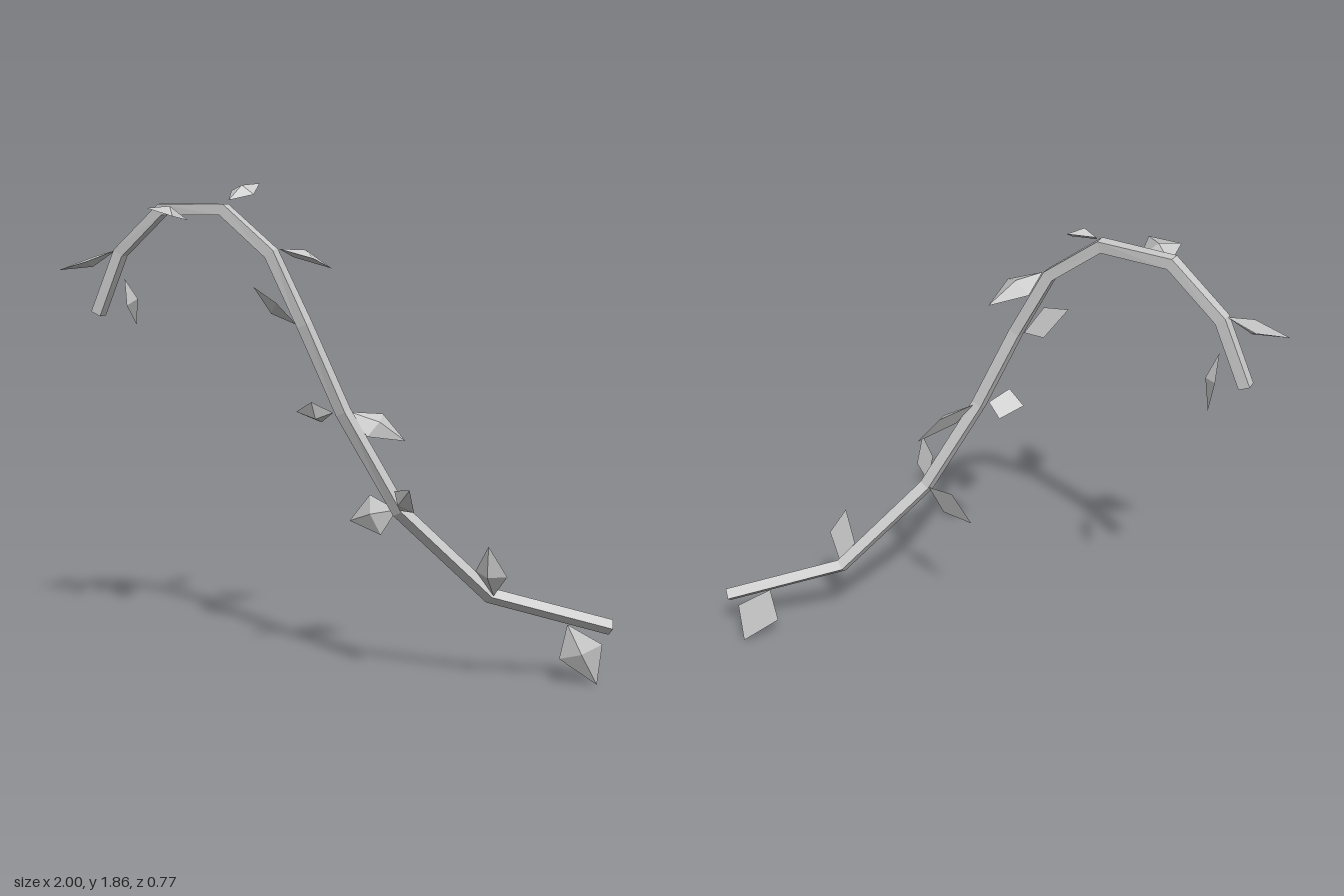
import * as THREE from 'three';

// Flat-shaded geometry from polygons given as lists of points
function fromFaces(faces) {
  const pos = [];
  for (const f of faces)
    for (let i = 1; i < f.length - 1; i++)
      for (const p of [f[0], f[i], f[i + 1]]) pos.push(p.x, p.y, p.z);
  const g = new THREE.BufferGeometry();
  g.setAttribute('position', new THREE.Float32BufferAttribute(pos, 3));
  g.computeVertexNormals();
  return g;
}

// Square stem swept along a bent path; each stop is x, y, z, twist in degrees
function stemGeometry(stops, half) {
  const pts = stops.map(([x, y, z]) => new THREE.Vector3(x, y, z));
  const last = pts.length - 1;
  const rings = pts.map((p, i) => {
    const t = pts[Math.min(i + 1, last)].clone().sub(pts[Math.max(i - 1, 0)]).normalize();
    const front = new THREE.Vector3(0, 0, 1).addScaledVector(t, -t.z).normalize();
    const a = THREE.MathUtils.degToRad(stops[i][3]);
    const u = front.clone().cross(t).multiplyScalar(Math.cos(a))
      .addScaledVector(front, Math.sin(a));
    const v = t.clone().cross(u);
    return [[1, 1], [-1, 1], [-1, -1], [1, -1]].map(([m, n]) =>
      p.clone().addScaledVector(u, m * half).addScaledVector(v, n * half));
  });
  const faces = [rings[0].slice().reverse(), rings[last]];
  for (let i = 0; i < last; i++)
    for (let k = 0; k < 4; k++) {
      const n = (k + 1) % 4;
      faces.push([rings[i][k], rings[i][n], rings[i + 1][n], rings[i + 1][k]]);
    }
  return fromFaces(faces);
}

// Kite-shaped leaf with a flat back; its low peak rises along width x length
function leafGeometry(length, width) {
  const base = new THREE.Vector3();
  const middle = length.clone().multiplyScalar(0.45);
  const outline = [base, middle.clone().add(width), length, middle.clone().sub(width)];
  const peak = width.clone().cross(length).setLength(0.03).add(middle);
  const faces = outline.map((p, i) => [p, outline[(i + 1) % 4], peak]);
  faces.push([base, outline[3], length, outline[1]]);
  return fromFaces(faces);
}

export function createModel() {
  const group = new THREE.Group();
  group.name = 'vine';
  const grey = new THREE.MeshStandardMaterial({ color: 0xcccccc });
  grey.name = 'light grey';

  const add = (name, geometry) => {
    const mesh = new THREE.Mesh(geometry, grey);
    mesh.name = name;
    group.add(mesh);
    return mesh;
  };

  add('stem', stemGeometry([
    [-0.89, 1.37, 0.145, 0], [-0.785, 1.6, 0.15, 0], [-0.59, 1.762, 0.17, 0],
    [-0.325, 1.762, 0.198, 0], [-0.135, 1.61, 0.205, 3], [-0.01, 1.36, 0.197, 8],
    [0.12, 1.05, 0.153, 12], [0.3, 0.69, 0.057, 18], [0.58, 0.355, -0.15, 28],
    [0.985, 0.225, -0.36, 35],
  ], 0.021));

  // Each leaf: base position, vector from base to tip, half-width vector
  const addLeaf = (name, base, length, width) =>
    add(name, leafGeometry(new THREE.Vector3(...length), new THREE.Vector3(...width)))
      .position.set(...base);

  // Leaves along the hooked end
  addLeaf('hookLeafOuter', [-0.8, 1.61, 0.155], [-0.2, -0.075, 0.085], [0.02, -0.007, 0.062]);
  addLeaf('hookLeafInner', [-0.8, 1.5, 0.1], [0, -0.18, -0.082], [0.02, -0.018, 0.058]);
  addLeaf('crestLeafFront', [-0.58, 1.75, 0.185], [0.15, -0.01, 0.2], [-0.06, 0.022, 0.043]);
  addLeaf('crestLeafBack', [-0.32, 1.795, 0.17], [0.06, 0.06, -0.13], [0.046, -0.007, 0.002]);

  // Leaves along the long slope
  addLeaf('slopeLeafTop', [-0.115, 1.625, 0.183], [0.125, -0.075, -0.183], [0.06, 0, 0.045]);
  addLeaf('slopeLeafUpper', [-0.04, 1.36, 0.2], [-0.17, 0.13, 0], [0.03, 0.022, 0.07]);
  addLeaf('slopeLeafMiddle', [0.09, 1.05, 0.175], [-0.13, 0, 0.03], [0, 0.042, 0.045]);
  addLeaf('slopeLeafBack', [0.135, 1.05, 0.13], [0.157, -0.118, -0.15], [-0.008, -0.035, 0.055]);
  addLeaf('slopeLeafSmall', [0.31, 0.695, 0.08], [0.087, 0.105, 0.135], [0.042, -0.034, 0.012]);
  addLeaf('slopeLeafLower', [0.285, 0.69, 0.045], [-0.21, -0.07, -0.06], [-0.033, 0.067, -0.028]);

  // Leaves at the low end
  addLeaf('lowLeafUpright', [0.6, 0.36, -0.13], [0, 0.2, 0.07], [0.065, -0.002, 0.015]);
  addLeaf('lowLeafHanging', [0.84, 0.24, -0.28], [0.1, -0.24, -0.07], [-0.075, -0.03, 0.025]);
  return group;
}
